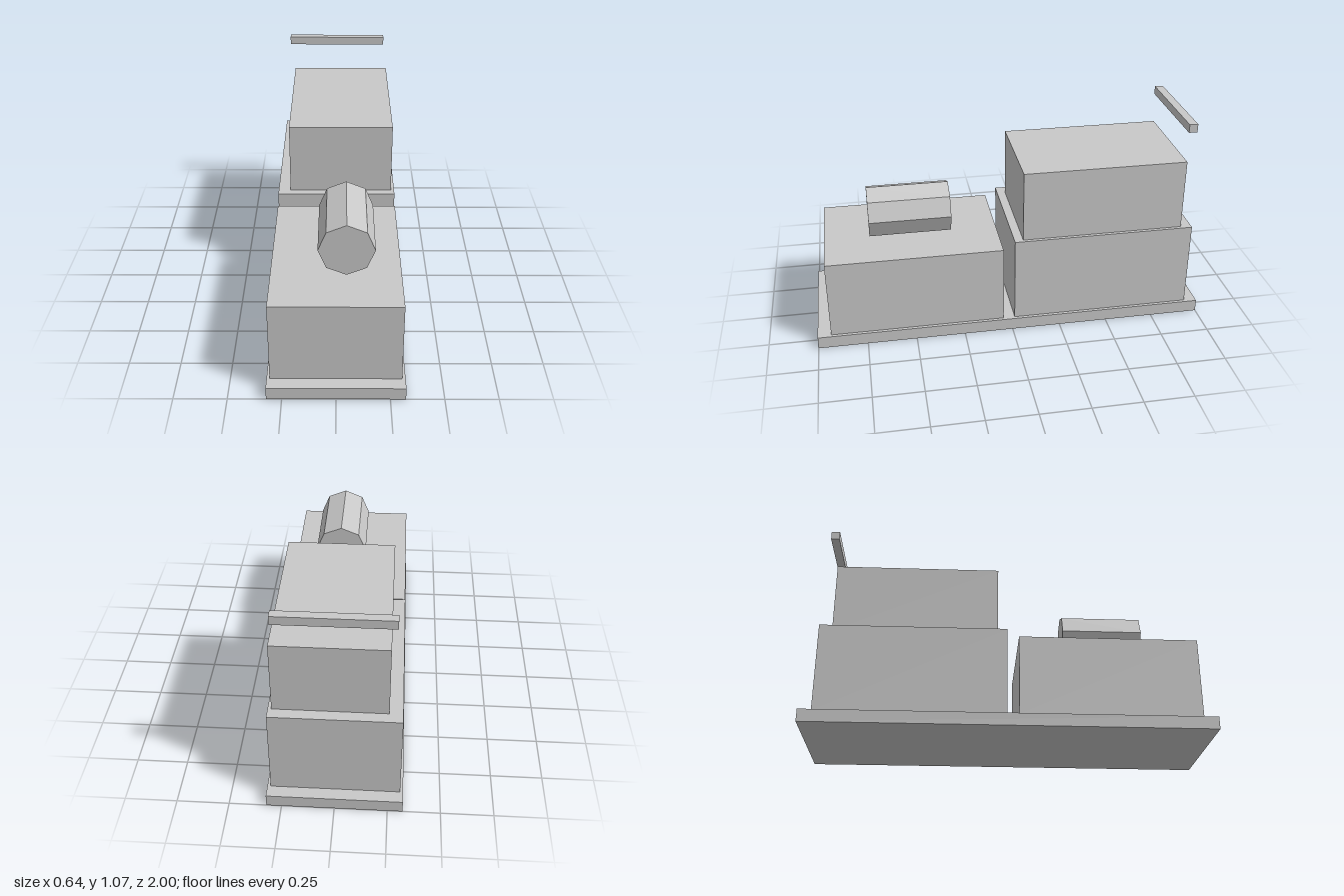
import * as THREE from 'three';

export function createModel() {
  const model = new THREE.Group();
  const grey = new THREE.MeshStandardMaterial({ color: 0xc8c8c8 });
  grey.name = 'light grey';

  function add(name, geometry, x, y, z) {
    const mesh = new THREE.Mesh(geometry, grey);
    mesh.name = name;
    mesh.position.set(x, y, z);
    model.add(mesh);
  }

  // Box given by its lower and upper limits on each axis
  function addBox(name, [x0, x1], [y0, y1], [z0, z1]) {
    add(name, new THREE.BoxGeometry(x1 - x0, y1 - y0, z1 - z0),
      (x0 + x1) / 2, (y0 + y1) / 2, (z0 + z1) / 2);
  }

  // Base plate with two lower blocks separated by a narrow gap
  addBox('basePlate', [-0.322, 0.322], [0, 0.063], [-1, 1]);
  addBox('frontBlock', [-0.308, 0.306], [0.063, 0.471], [0.045, 0.932]);
  addBox('rearBlock', [-0.308, 0.306], [0.063, 0.511], [-0.937, -0.013]);

  // Upper block, slightly off centre, and the bar floating above its back edge
  addBox('upperBlock', [-0.245, 0.289], [0.511, 0.877], [-0.882, -0.057]);
  addBox('rearBar', [-0.27, 0.27], [1.026, 1.069], [-0.925, -0.882]);

  // Eight-sided drum lying lengthways just above the front block
  const drum = new THREE.CylinderGeometry(0.133, 0.133, 0.412, 8).toNonIndexed();
  drum.rotateX(Math.PI / 2);
  drum.computeVertexNormals();
  add('drum', drum, 0.048, 0.618, 0.495);

  return model;
}
